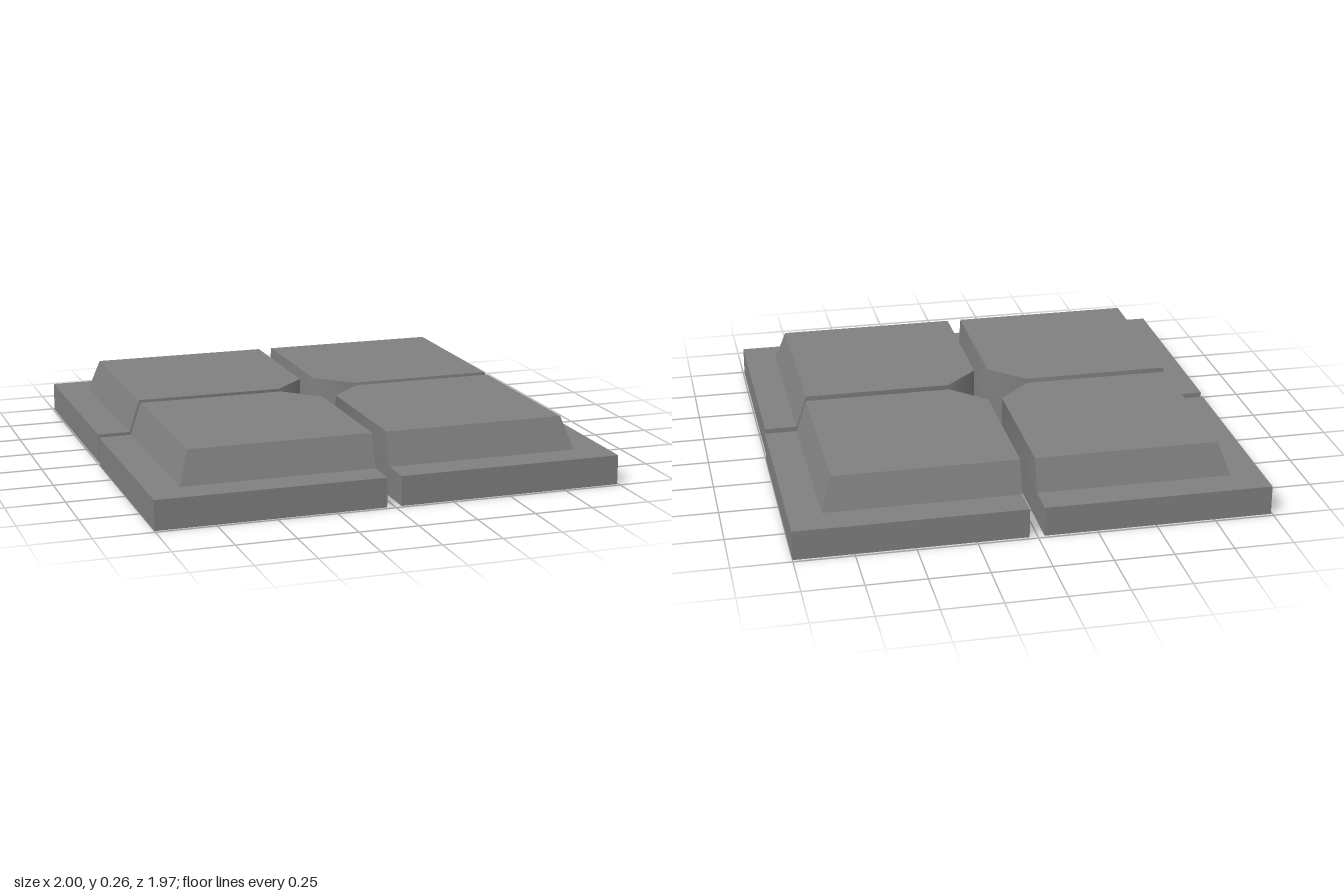
import * as THREE from 'three';
import { toCreasedNormals } from 'three/addons/utils/BufferGeometryUtils.js';

// Inner edges (at the gaps) and chamfer of each quarter block
const GAP_X = 0.031, GAP_Z = 0.024, CUT_X = 0.177, CUT_Z = 0.167;

// Outer extents at each height: plinth wall, ledge, sloped raised top
const LEVELS = [
  { y: 0, x: 0.997, z: 0.985 },
  { y: 0.126, x: 0.997, z: 0.985 },
  { y: 0.126, x: 0.858, z: 0.845 },
  { y: 0.265, x: 0.812, z: 0.802 },
];

// One quarter block, mirrored by the signs sx and sz
function quarterGeometry(sx, sz) {
  const rings = LEVELS.map(({ y, x, z }) =>
    [[x, GAP_Z], [x, z], [GAP_X, z], [GAP_X, CUT_Z], [CUT_X, GAP_Z]]
      .map(([px, pz]) => new THREE.Vector3(px * sx, y, pz * sz)));
  const positions = [];
  const tri = (a, b, c) => {
    if (new THREE.Triangle(a, b, c).getArea() < 1e-7) return; // no ledge on inner walls
    const order = sx * sz > 0 ? [a, b, c] : [a, c, b];
    order.forEach((p) => positions.push(p.x, p.y, p.z));
  };

  // Walls, ledge and slope
  for (let r = 0; r < rings.length - 1; r++) {
    const low = rings[r], high = rings[r + 1];
    for (let i = 0; i < 5; i++) {
      const j = (i + 1) % 5;
      tri(low[i], high[i], low[j]);
      tri(high[i], high[j], low[j]);
    }
  }

  // Underside and top
  const bottom = rings[0], top = rings[rings.length - 1];
  for (let k = 1; k < 4; k++) {
    tri(bottom[0], bottom[k], bottom[k + 1]);
    tri(top[0], top[k + 1], top[k]);
  }

  const geometry = new THREE.BufferGeometry();
  geometry.setAttribute('position', new THREE.Float32BufferAttribute(positions, 3));
  return toCreasedNormals(geometry, THREE.MathUtils.degToRad(50)); // soft shading round the chamfer only
}

export function createModel() {
  const model = new THREE.Group();
  model.name = 'splitPlinth';
  const stone = new THREE.MeshStandardMaterial({ color: 0x808080 });
  stone.name = 'grey stone';

  for (const sz of [1, -1]) {
    for (const sx of [1, -1]) {
      const block = new THREE.Mesh(quarterGeometry(sx, sz), stone);
      block.name = (sz > 0 ? 'front' : 'back') + (sx > 0 ? 'Left' : 'Right') + 'Block';
      block.position.x = -0.003 * sz; // the rows sit slightly out of line
      model.add(block);
    }
  }
  return model;
}
